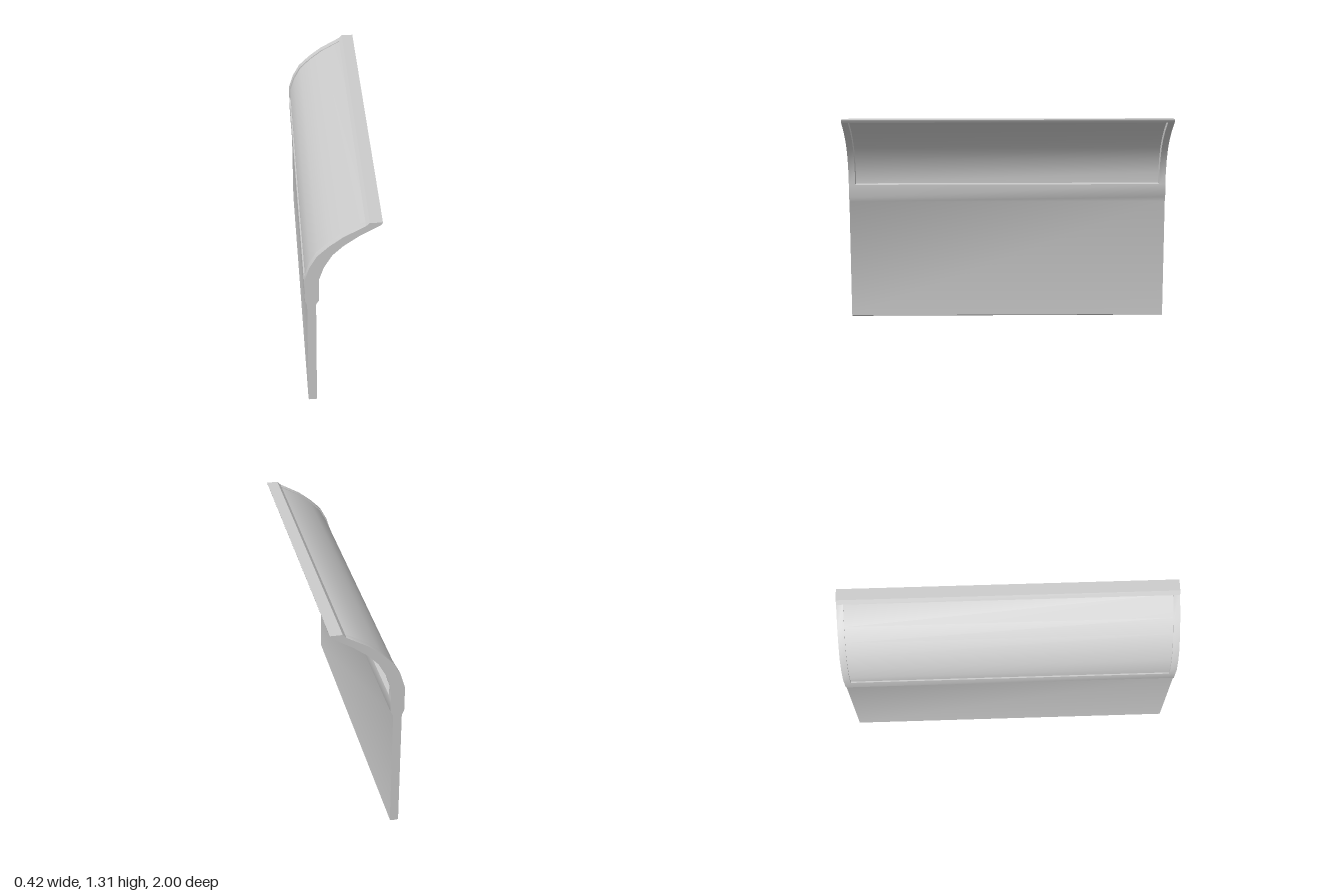
import * as THREE from 'three';
import { toCreasedNormals } from 'three/addons/utils/BufferGeometryUtils.js';

const LENGTH = 2;      // overall run along z
const RIB = 0.04;      // width of the curved end ribs

// Matching outer and inner points of the curved section, from sill to top rail
const OUTER = [[-0.213, 0.86], [-0.213, 0.927], [-0.186, 1.015], [-0.144, 1.094],
  [-0.078, 1.16], [-0.002, 1.22], [0.12, 1.289]];
const INNER = [[-0.134, 0.86], [-0.134, 0.927], [-0.106, 1.015], [-0.06, 1.098],
  [0, 1.16], [0.085, 1.224], [0.2, 1.292]];

const material = new THREE.MeshStandardMaterial({ color: 0xcccccc });

// Extrude an x-y profile along z, centred on the given z
function extrude(name, points, depth, z = 0) {
  const shape = new THREE.Shape(points.map(([x, y]) => new THREE.Vector2(x, y)));
  const geometry = new THREE.ExtrudeGeometry(shape, { depth, bevelEnabled: false });
  geometry.translate(0, 0, z - depth / 2);
  const mesh = new THREE.Mesh(toCreasedNormals(geometry, 0.7), material);
  mesh.name = name;
  return mesh;
}

// Closed band between two fractions of the wall thickness (0 outer, 1 inner)
function band(from, to) {
  const layer = (t) => OUTER.map(([x, y], i) => [
    x + (INNER[i][0] - x) * t,
    y + (INNER[i][1] - y) * t,
  ]);
  return [...layer(from), ...layer(to).reverse()];
}

export function createModel() {
  const group = new THREE.Group();
  group.name = 'curvedScreen';

  // Flat lower panel, thickening into the sill
  group.add(extrude('lowerPanel', [
    [-0.194, 0], [-0.156, 0], [-0.15, 0.006], [-0.15, 0.748], [-0.134, 0.778], [-0.134, 0.86],
    [-0.213, 0.86], [-0.213, 0.778], [-0.2, 0.748], [-0.2, 0.006],
  ], LENGTH));

  // Curved ribs at both ends
  for (const side of [-1, 1]) {
    group.add(extrude(side > 0 ? 'frontRib' : 'backRib', band(0, 1), RIB, side * (LENGTH - RIB) / 2));
  }

  // Top rail with a flat upper face
  group.add(extrude('topRail', [
    [0.12, 1.289], [0.2, 1.292], [0.207, 1.3], [0.21, 1.31], [0.14, 1.31],
  ], LENGTH));

  // Thin curved pane set just below the outer face of the frame
  group.add(extrude('curvedPane', band(0.1, 0.25), LENGTH - 2 * RIB));

  return group;
}
